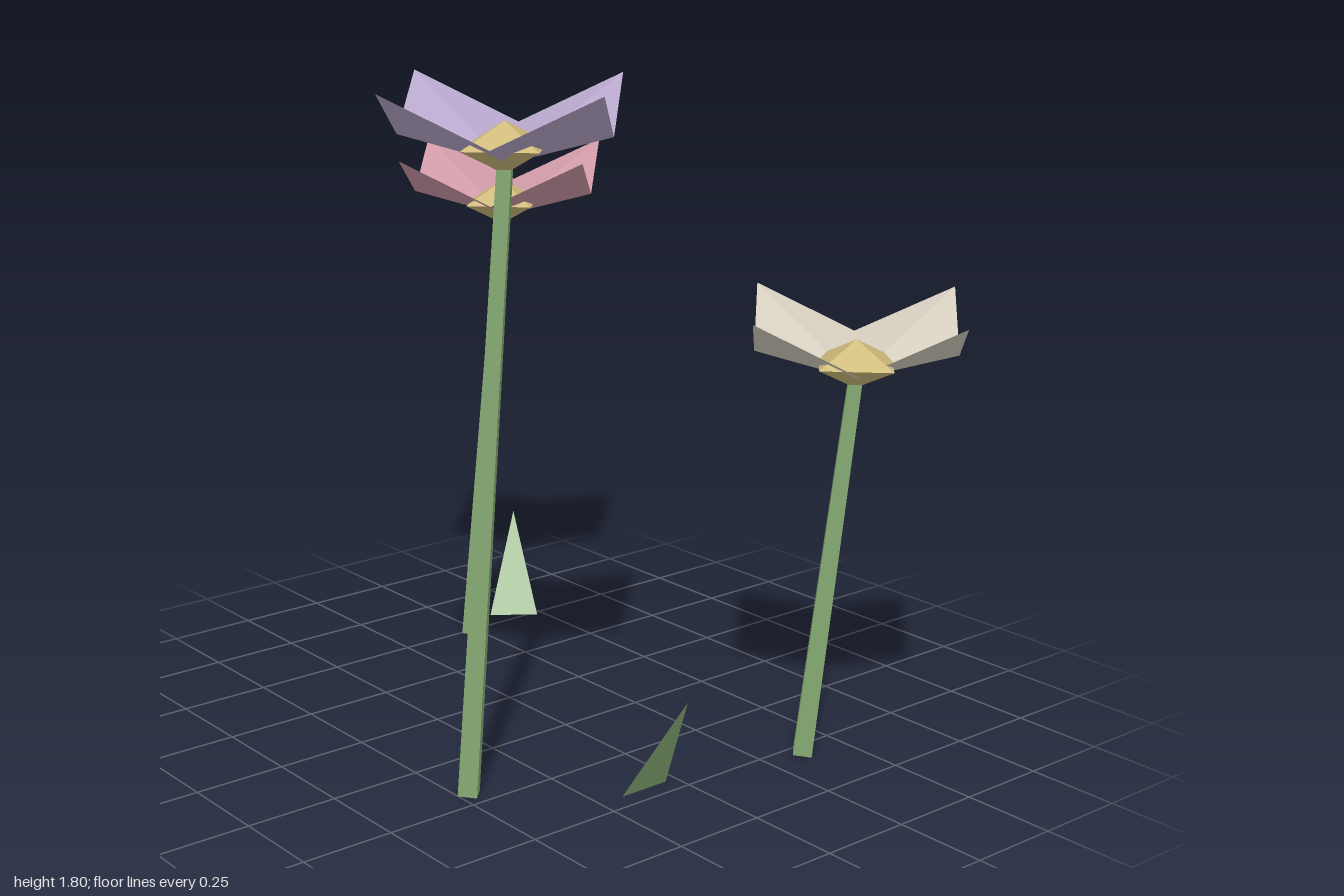
import * as THREE from 'three';

const V = (x, y, z) => new THREE.Vector3(x, y, z);

const material = (name, color) => {
  const m = new THREE.MeshStandardMaterial({ color, flatShading: true, side: THREE.DoubleSide });
  m.name = name;
  return m;
};

// Flat triangles from consecutive triples of points
function facets(points) {
  const g = new THREE.BufferGeometry().setFromPoints(points);
  g.computeVertexNormals();
  return g;
}

function addMesh(parent, name, geometry, mat) {
  const mesh = new THREE.Mesh(geometry, mat);
  mesh.name = name;
  parent.add(mesh);
  return mesh;
}

export function createModel() {
  const model = new THREE.Group();
  model.name = 'flowers';
  const green = material('leaf green', 0x86aa74);
  const yellow = material('soft yellow', 0xccb878);
  const pink = material('dusty pink', 0xd09aa8);
  const lavender = material('lavender', 0xb8a8cc);
  const cream = material('cream', 0xd6cfc0);

  // One petal: a kite folded along its raised middle line
  const root = V(0, -0.19, 0), tip = V(0, 0, 0.36);
  const cornerL = V(0.18, -0.123, 0.18), cornerR = V(-0.18, -0.123, 0.18);
  const petalGeometry = facets([root, tip, cornerL, root, cornerR, tip]);

  // Flower centre: a flattened eight-faced gem
  const centreGeometry = new THREE.OctahedronGeometry(0.13).scale(1, 0.48, 1);

  function addFlower(name, petalMat, foot, head) {
    const flower = new THREE.Group();
    flower.name = name;
    model.add(flower);

    // Leaning, tapering four-sided stem
    const top = head.clone().setY(head.y - 0.19);
    const axis = top.clone().sub(foot);
    const stem = addMesh(flower, 'stem',
      new THREE.CylinderGeometry(0.025, 0.035, axis.length(), 4), green);
    stem.position.copy(foot).add(top).multiplyScalar(0.5);
    stem.quaternion.setFromUnitVectors(V(0, 1, 0), axis.normalize());

    // Four petals around the centre
    for (let i = 0; i < 4; i++) {
      const petal = addMesh(flower, 'petal', petalGeometry, petalMat);
      petal.position.copy(head);
      petal.rotation.y = i * Math.PI / 2;
    }
    const centre = addMesh(flower, 'flowerCentre', centreGeometry, yellow);
    centre.position.copy(head).y -= 0.15;
  }

  addFlower('pinkFlower', pink, V(-0.735, 0.006, -0.226), V(-0.64, 1.48, -0.285));
  addFlower('lavenderFlower', lavender, V(0.193, 0.006, 0.472), V(0.285, 1.8, 0.413));
  addFlower('creamFlower', cream, V(0.543, 0.006, -0.364), V(0.637, 1.222, -0.418));

  // Pointed blades leaning outwards from the ground
  function addLeaf(name, x, z, dx, dz) {
    const w = 0.0725, lean = 0.16, y = 0.01;
    addMesh(model, name, facets([
      V(x - dz * w, y, z + dx * w),
      V(x + dz * w, y, z - dx * w),
      V(x + dx * lean, 0.297, z + dz * lean),
    ]), green);
  }
  addLeaf('leftLeaf', 0.46, 0.117, 1, 0);
  addLeaf('rightLeaf', -0.759, -0.407, -0.79, -0.61);

  return model;
}
